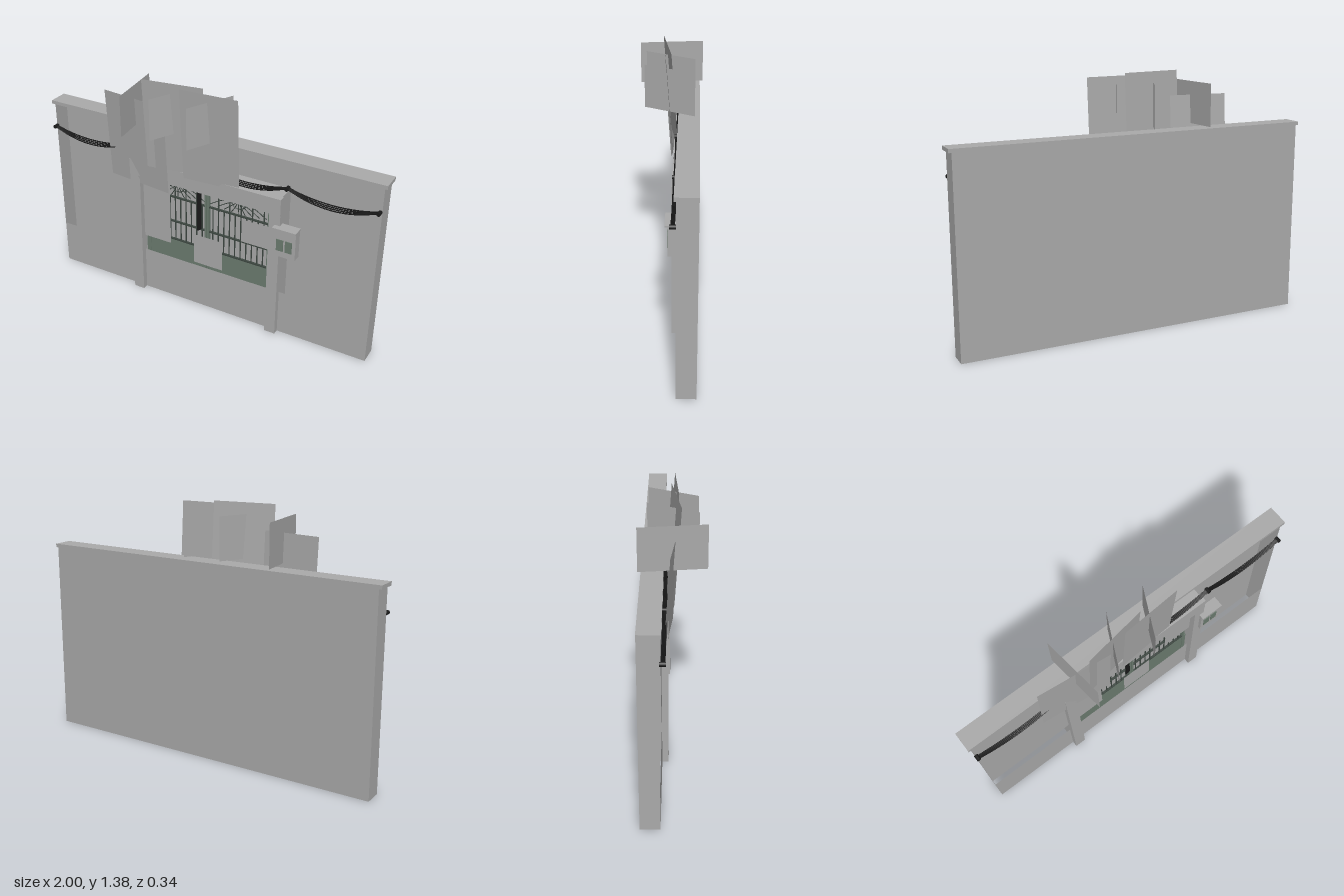
import * as THREE from 'three';

const mat = (name, color, side = THREE.FrontSide) => {
  const m = new THREE.MeshStandardMaterial({ color, side });
  m.name = name;
  return m;
};

export function createModel() {
  const root = new THREE.Group();
  root.name = 'gatedWall';
  const grey = mat('concreteGrey', 0xaaaaaa);
  const sheet = mat('sheetGrey', 0xaaaaaa, THREE.DoubleSide);
  const green = mat('paintedGreen', 0x6c7c70);
  const iron = mat('darkIron', 0x3e4842);
  const black = mat('cableBlack', 0x1a1a1a);

  const add = (name, geo, m, parent = root) => {
    const mesh = new THREE.Mesh(geo, m);
    mesh.name = name;
    parent.add(mesh);
    return mesh;
  };
  // Box given by its limits on each axis
  const box = (name, m, x0, x1, y0, y1, z0, z1, parent) => {
    const g = new THREE.BoxGeometry(x1 - x0, y1 - y0, z1 - z0);
    g.translate((x0 + x1) / 2, (y0 + y1) / 2, (z0 + z1) / 2);
    return add(name, g, m, parent);
  };
  // Upright sheet over a plan line; lean moves its lower edge in z
  const upright = (name, x0, z0, x1, z1, y0, y1, lean = 0) => {
    const g = new THREE.BufferGeometry();
    g.setAttribute('position', new THREE.Float32BufferAttribute([
      x0, y0, z0 + lean, x1, y0, z1 + lean, x1, y1, z1, x0, y1, z0], 3));
    g.setIndex([0, 1, 2, 0, 2, 3]);
    g.computeVertexNormals();
    return add(name, g, sheet);
  };
  const tube = (name, m, pts, r, parent) => add(name,
    new THREE.TubeGeometry(new THREE.CatmullRomCurve3(pts), 14, r, 5), m, parent);

  // Hollow wall: back, ends and low front; open above the plinth
  const W = 0.985, F = -0.055, B = -0.155;
  upright('wallBack', W, B, -W, B, 0, 1.06);
  upright('wallEnd', W, F, W, B, 0, 1.06);
  upright('wallEnd', -W, B, -W, F, 0, 1.06);
  upright('wallPlinth', -W, F, W, F, 0, 0.265);
  box('wallCap', grey, -1, 1, 1.06, 1.08, B, -0.045);

  // Gateway: jambs into the wall, pillars and lintel in front
  for (const s of [-1, 1]) {
    upright('gateJamb', s * 0.457, F, s * 0.457, B, 0, 0.86);
    const c = s * 0.432;
    box('gatePillar', grey, c - 0.032, c + 0.032, 0, 0.765, F, -0.022);
  }
  box('gateLintel', grey, -0.464, 0.464, 0.765, 0.86, F, -0.02);
  box('gatewayTop', grey, -0.457, 0.457, 0.855, 0.86, B, F);

  // Gate: two mirrored leaves with kick panel, rails, bars and fans
  const gz = -0.082;
  for (const s of [-1, 1]) {
    const leaf = new THREE.Group();
    leaf.name = 'gateLeaf';
    root.add(leaf);
    const bx = (n, m, a, b, y0, y1, d) =>
      box(n, m, Math.min(s * a, s * b), Math.max(s * a, s * b), y0, y1, gz - d, gz + d, leaf);
    bx('kickPanel', green, 0.003, 0.4, 0.01, 0.375, 0.006);
    bx('topRail', green, 0.003, 0.4, 0.74, 0.762, 0.009);
    bx('gateStile', green, 0.372, 0.386, 0.01, 0.75, 0.01);
    bx('gateStile', green, 0.003, 0.013, 0.01, 0.75, 0.01);
    for (const y of [0.378, 0.497, 0.655]) bx('gateRail', iron, 0.01, 0.39, y - 0.004, y + 0.004, 0.006);
    for (let i = 1; i <= 10; i++) {
      const x = i * 0.0345;
      bx('gateBar', iron, x - 0.0025, x + 0.0025, 0.375, i % 2 ? 0.66 : 0.745, 0.003);
    }
    // Fan of curved rods spreading from the top rail
    for (let i = -4; i <= 4; i++) {
      const t = i / 4, cx = s * 0.19;
      tube('fanRod', iron, [
        new THREE.Vector3(cx, 0.74, gz),
        new THREE.Vector3(cx + t * 0.09, 0.725 - 0.03 * (1 - t * t), gz),
        new THREE.Vector3(cx + t * 0.17, 0.66 + 0.02 * Math.abs(t), gz)], 0.0025, leaf);
    }
    const arc = add('fanArc', new THREE.TorusGeometry(0.045, 0.003, 5, 16, Math.PI), iron, leaf);
    arc.position.set(s * 0.19, 0.74, gz);
    arc.rotation.z = Math.PI;
  }
  // Hanging cords over the gate
  for (const x of [-0.046, -0.038, -0.03])
    box('hangingCord', black, x - 0.004, x + 0.004, 0.5 + (x + 0.046), 0.765, -0.062, -0.054);

  // Flat notices on the wall and gate
  upright('largeNotice', -0.645, -0.056, -0.225, -0.056, 0.36, 1.06);
  upright('lowNotice', -0.07, -0.053, 0.11, -0.053, 0.285, 0.47);
  upright('sideNotice', 0.225, -0.056, 0.41, -0.056, 0.515, 0.655);

  // Large sheets leaning out over the gateway
  upright('leaningSheet', -0.6, -0.01, -0.2, 0.035, 0.72, 1.245, -0.036);
  upright('leaningSheet', -0.325, 0.043, 0.012, -0.008, 0.86, 1.38, -0.036);
  upright('leaningSheet', -0.107, 0.03, 0.22, 0.008, 0.84, 1.365, -0.036);

  // Small sheets standing across them
  upright('crossSheet', -0.375, 0.17, -0.415, -0.17, 1.09, 1.32);
  upright('crossSheet', -0.225, 0.13, -0.1, -0.13, 1.09, 1.32);
  upright('crossSheet', -0.005, 0.13, 0.12, -0.13, 1.09, 1.32);

  // Meter box with lid and two windows
  const meter = new THREE.Group();
  meter.name = 'meterBox';
  root.add(meter);
  box('meterCase', grey, 0.438, 0.565, 0.53, 0.695, F, -0.005, meter);
  box('meterLid', grey, 0.434, 0.569, 0.695, 0.704, F, 0.01, meter);
  for (const x of [0.457, 0.507])
    box('meterWindow', green, x, x + 0.039, 0.567, 0.635, -0.005, -0.001, meter);

  // Sagging cables between hooks
  const hooks = [-0.98, -0.49, 0, 0.487, 0.975];
  hooks.forEach((x, i) => {
    const hook = add('cableHook', new THREE.CylinderGeometry(0.011, 0.011, 0.03, 8), black);
    hook.rotation.x = Math.PI / 2;
    hook.position.set(x, 0.925, -0.04);
    if (i === 4) return;
    for (let k = 0; k < 4; k++) {
      const pts = [], end = hooks[i + 1], sag = 0.034 + 0.007 * k;
      for (let j = 0; j <= 6; j++) {
        const t = j / 6;
        pts.push(new THREE.Vector3(x + (end - x) * t,
          0.928 - 4 * sag * t * (1 - t), -0.047 + 0.005 * k));
      }
      tube('cable', black, pts, 0.0035);
    }
  });
  return root;
}
